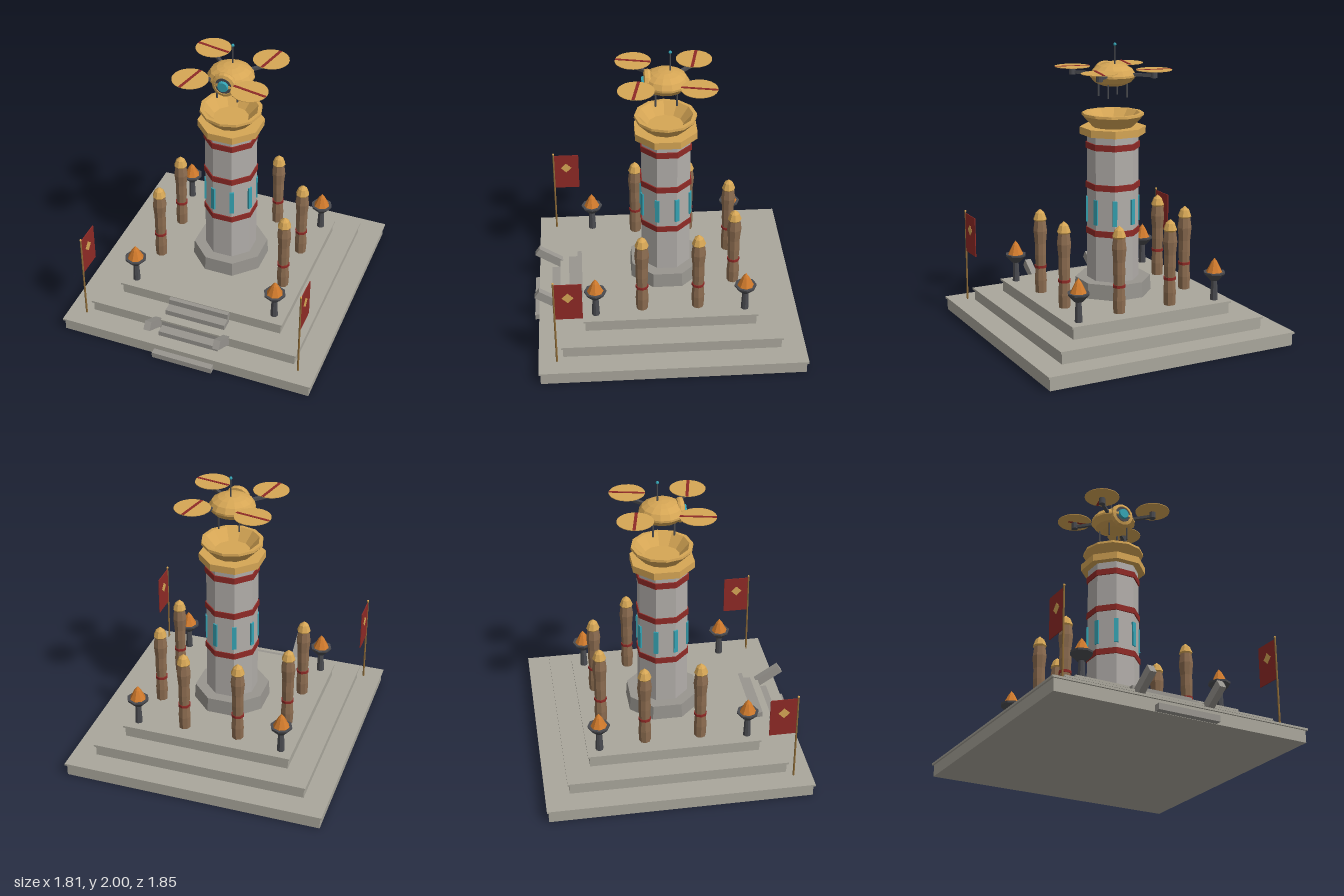
import * as THREE from 'three';

const mat = (color, extra = {}) =>
  new THREE.MeshStandardMaterial({ color, flatShading: true, ...extra });
const STONE = mat(0xaaa79c), COLUMN = mat(0xb2aeaa), STEP = mat(0x98958f);
const GOLD = mat(0xd6a655, { side: THREE.DoubleSide }), RED = mat(0x8f2a26);
const TEAL = mat(0x35a3b3), DARK = mat(0x4a4b50, { side: THREE.DoubleSide });
const WOOD = mat(0x8c6c50), FLAME = mat(0xd07a2c), POLE = mat(0x8f6c38);

function add(parent, name, geometry, material, x = 0, y = 0, z = 0) {
  const mesh = new THREE.Mesh(geometry, material);
  mesh.name = name;
  mesh.position.set(x, y, z);
  parent.add(mesh);
  return mesh;
}
function group(parent, name, x = 0, y = 0, z = 0) {
  const g = new THREE.Group();
  g.name = name;
  g.position.set(x, y, z);
  parent.add(g);
  return g;
}
const box = (w, h, d) => new THREE.BoxGeometry(w, h, d);
const cyl = (rTop, rBottom, h, n = 8) => new THREE.CylinderGeometry(rTop, rBottom, h, n);
const lathe = (points, n) =>
  new THREE.LatheGeometry(points.map(([r, y]) => new THREE.Vector2(r, y)), n);

// Eight-sided prism between two heights, with a flat side to the front
function octagon(parent, name, material, apothem, y0, y1, bottom = apothem) {
  const k = 1 / Math.cos(Math.PI / 8);
  const geometry = cyl(apothem * k, bottom * k, y1 - y0).rotateY(Math.PI / 8);
  return add(parent, name, geometry, material, 0, (y0 + y1) / 2);
}

function buildPlatform(root) {
  const g = group(root, 'platform');
  // Three square tiers, each with a thin lip
  [[0.907, 0, 0.095], [0.753, 0.095, 0.182], [0.596, 0.182, 0.27]].forEach(([r, y0, y1]) => {
    add(g, 'tier', box(2 * r - 0.024, y1 - y0 - 0.012, 2 * r - 0.024), STONE, 0, (y0 + y1 - 0.012) / 2);
    add(g, 'tierLip', box(2 * r, 0.014, 2 * r), STONE, 0, y1 - 0.007);
  });
  // Six steps up the front
  for (let i = 0; i < 6; i++)
    add(g, 'step', box(0.435, 0.041, 0.09), STEP, 0, 0.0225 + 0.0445 * i, 0.895 - 0.0625 * i);
  // Sloping side rails
  for (const s of [-1, 1])
    add(g, 'stairRail', box(0.046, 0.063, 0.4), STEP, s * 0.25, 0.155, 0.75).rotation.x = -0.58;
}

function buildTower(root) {
  const g = group(root, 'tower');
  octagon(g, 'pedestal', STEP, 0.24, 0.27, 0.375, 0.247);
  octagon(g, 'column', COLUMN, 0.163, 0.37, 1.385, 0.166);
  for (const y of [0.71, 1.03, 1.305]) octagon(g, 'redBand', RED, 0.172, y - 0.021, y + 0.021);
  octagon(g, 'collar', GOLD, 0.208, 1.38, 1.43);
  // Light strips on the column's corners
  for (let i = 0; i < 8; i++) {
    const a = (i + 0.5) * Math.PI / 4;
    add(g, 'lightStrip', box(0.03, 0.175, 0.016), TEAL,
      0.176 * Math.sin(a), 0.857, 0.176 * Math.cos(a)).rotation.y = a;
  }
  // Open landing bowl
  add(g, 'landingBowl', lathe([[0, 1.43], [0.14, 1.43], [0.2, 1.495], [0.212, 1.508],
    [0.21, 1.525], [0.185, 1.525], [0.12, 1.45], [0, 1.45]], 12), GOLD);
}

function buildTotem(root, x, z) {
  const g = group(root, 'totem', x, 0, z);
  add(g, 'totemPost', lathe([[0.04, 0.27], [0.044, 0.36], [0.037, 0.45], [0.042, 0.54],
    [0.041, 0.62], [0.05, 0.71], [0.04, 0.785]], 8), WOOD);
  add(g, 'totemBand', cyl(0.044, 0.044, 0.018), RED, 0, 0.455);
  add(g, 'totemCap', lathe([[0, 0.775], [0.037, 0.775], [0.048, 0.79], [0.031, 0.835],
    [0, 0.862]], 8), GOLD);
}

function buildBrazier(root, x, z) {
  const g = group(root, 'brazier', x, 0, z);
  add(g, 'brazierStem', cyl(0.02, 0.027, 0.15), DARK, 0, 0.345);
  add(g, 'brazierBowl', lathe([[0, 0.405], [0.03, 0.408], [0.074, 0.455], [0.076, 0.468],
    [0.062, 0.468], [0, 0.455]], 8), DARK);
  add(g, 'flame', lathe([[0, 0.458], [0.058, 0.464], [0.047, 0.485], [0.022, 0.535],
    [0, 0.565]], 8), FLAME);
}

function buildFlag(root, side) {
  const g = group(root, 'flag', side * 0.781, 0, 0.783);
  add(g, 'flagPole', cyl(0.006, 0.007, 0.655), POLE, 0, 0.422);
  add(g, 'poleTip', new THREE.SphereGeometry(0.008, 8, 6), GOLD, 0, 0.75);
  add(g, 'flagCloth', box(0.006, 0.28, 0.18), RED, 0, 0.597, -0.096);
  add(g, 'flagDiamond', box(0.01, 0.055, 0.055), GOLD, 0, 0.63, -0.092).rotation.x = Math.PI / 4;
}

function buildDrone(root) {
  const g = group(root, 'drone', 0, 1.778, 0);
  add(g, 'droneBody', lathe([[0, -0.07], [0.075, -0.068], [0.125, -0.045], [0.156, -0.008],
    [0.156, 0.006], [0.135, 0.04], [0.095, 0.064], [0.05, 0.076], [0, 0.08]], 14), GOLD);
  // Eye: ring, dark socket and lens, facing the front
  const eye = group(g, 'eye', 0, 0, 0);
  eye.rotation.x = Math.PI / 2;
  add(eye, 'eyeRing', lathe([[0.055, 0.1], [0.078, 0.1], [0.085, 0.115], [0.08, 0.138],
    [0.06, 0.145], [0.05, 0.13], [0.055, 0.1]], 16), GOLD);
  add(eye, 'eyeSocket', cyl(0.056, 0.056, 0.05, 16), DARK, 0, 0.118);
  add(eye, 'eyeLens', cyl(0.034, 0.04, 0.02, 16), TEAL, 0, 0.15);
  // Antenna
  add(g, 'antenna', cyl(0.005, 0.006, 0.15, 6), DARK, 0, 0.135, -0.03);
  add(g, 'antennaTip', new THREE.SphereGeometry(0.011, 8, 6), TEAL, 0, 0.209, -0.03);
  // Arm, motor, rotor and leg at each corner
  for (const sx of [-1, 1]) for (const sz of [-1, 1]) {
    const arm = add(g, 'rotorArm', box(0.022, 0.02, 0.19), DARK, sx * 0.14, 0.008, sz * 0.14);
    arm.rotation.y = Math.atan2(sx, sz);
    add(g, 'motor', cyl(0.023, 0.023, 0.045, 10), DARK, sx * 0.204, 0.015, sz * 0.204);
    add(g, 'rotorShaft', cyl(0.006, 0.006, 0.02, 6), DARK, sx * 0.204, 0.04, sz * 0.204);
    add(g, 'rotorDisc', cyl(0.121, 0.121, 0.004, 24), GOLD, sx * 0.204, 0.047, sz * 0.204);
    add(g, 'rotorBlade', box(0.238, 0.006, 0.02), RED, sx * 0.204, 0.048, sz * 0.204)
      .rotation.y = sx === sz ? -0.2 : 1.36;
    if (sx !== sz) g.children[g.children.length - 1].rotation.y = 1.36;
    add(g, 'droneLeg', cyl(0.006, 0.006, 0.11, 6), DARK, sx * 0.071, -0.094, sz * 0.071);
  }
  // Matching blade slant on opposite corners
  g.children.filter((c) => c.name === 'rotorBlade').forEach((b) => {
    b.rotation.y = b.position.x * b.position.z > 0 ? -0.2 : 1.36;
  });
}

export function createModel() {
  const model = new THREE.Group();
  model.name = 'shrineTower';
  const root = group(model, 'shrine', 0, 0, -0.016);
  buildPlatform(root);
  buildTower(root);
  // Ring of totems, left open in front of the stairs
  for (let i = 1; i < 7; i++) {
    const a = (i + 0.5) * Math.PI / 4;
    buildTotem(root, 0.5 * Math.sin(a), 0.5 * Math.cos(a));
  }
  for (const sx of [-1, 1]) {
    for (const sz of [-1, 1]) buildBrazier(root, sx * 0.512, sz * 0.51);
    buildFlag(root, sx);
  }
  buildDrone(root);
  return model;
}
